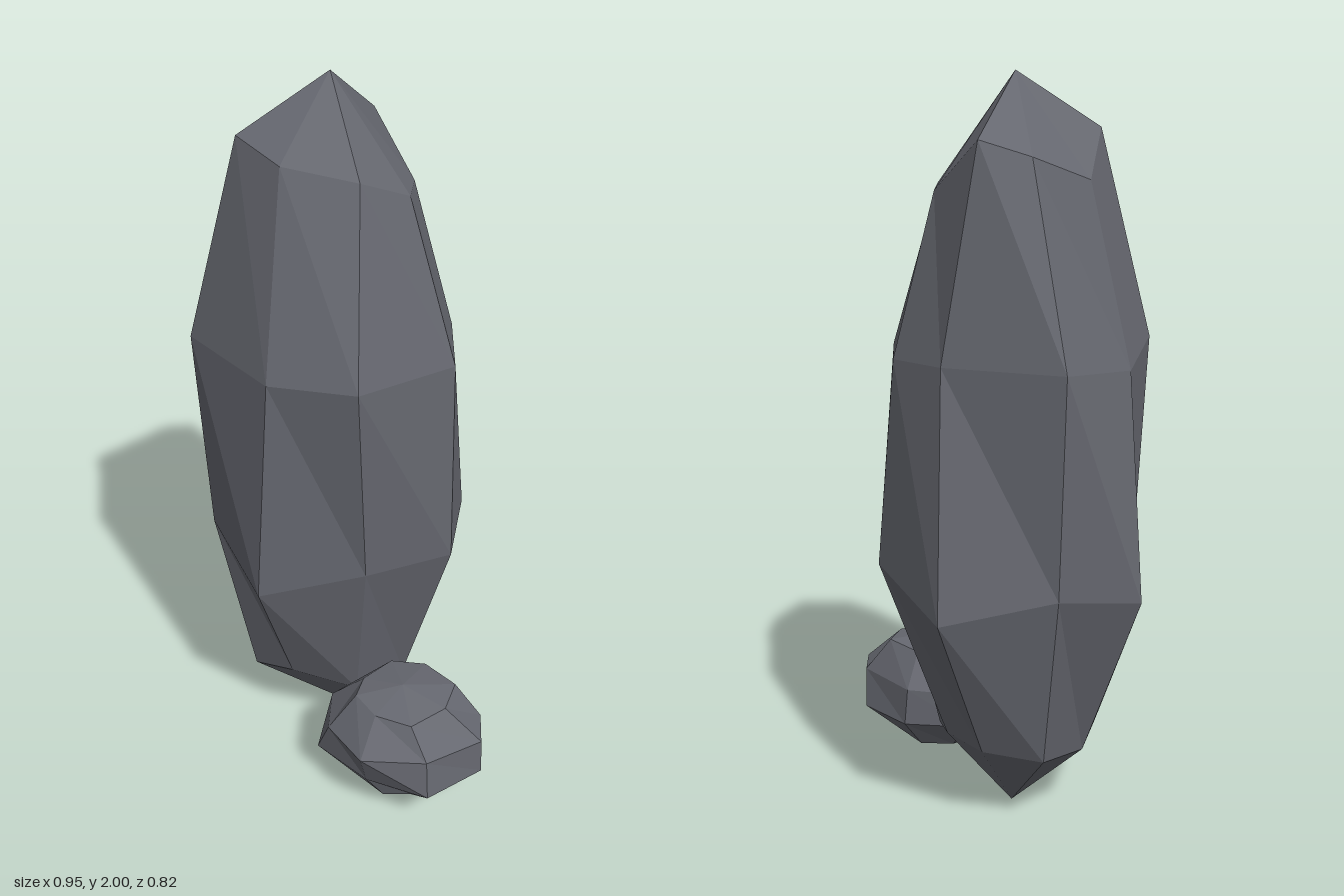
import * as THREE from 'three';

// Faceted stone: two poles joined by rings of [x, y, z] points,
// each ring running from +x towards +z.
function stone(name, top, rings, bottom, material) {
  const pos = [];
  const tri = (...corners) => corners.forEach((p) => pos.push(...p));
  const n = rings[0].length;
  const last = rings[rings.length - 1];
  for (let i = 0; i < n; i++) {
    const j = (i + 1) % n;
    tri(top, rings[0][j], rings[0][i]);
    for (let r = 0; r < rings.length - 1; r++) {
      const up = rings[r], low = rings[r + 1];
      tri(up[i], up[j], low[i]);
      tri(up[j], low[j], low[i]);
    }
    tri(last[i], last[j], bottom);
  }
  const geometry = new THREE.BufferGeometry();
  geometry.setAttribute('position', new THREE.Float32BufferAttribute(pos, 3));
  geometry.computeVertexNormals();
  const mesh = new THREE.Mesh(geometry, material);
  mesh.name = name;
  return mesh;
}

export function createModel() {
  const group = new THREE.Group();
  group.name = 'standingStone';
  const rock = new THREE.MeshStandardMaterial({ color: 0x666870, flatShading: true });
  rock.name = 'slateGrey';

  // Tall standing stone
  const shoulder = [
    [0.12, 1.72, -0.035], [0.06, 1.8, 0.12], [-0.12, 1.83, 0.175], [-0.27, 1.86, 0.115],
    [-0.3, 1.74, -0.06], [-0.2, 1.8, -0.205], [-0.08, 1.84, -0.255], [0.08, 1.71, -0.15],
  ];
  const chest = [
    [0.26, 1.29, -0.02], [0.13, 1.33, 0.275], [-0.1, 1.32, 0.315], [-0.395, 1.32, 0.18],
    [-0.41, 1.27, -0.045], [-0.33, 1.3, -0.31], [-0.01, 1.3, -0.325], [0.165, 1.29, -0.225],
  ];
  const belly = [
    [0.275, 0.7, -0.01], [0.12, 0.73, 0.21], [-0.14, 0.66, 0.335], [-0.37, 0.73, 0.17],
    [-0.475, 0.68, -0.115], [-0.31, 0.72, -0.29], [-0.035, 0.66, -0.415], [0.22, 0.73, -0.22],
  ];
  const foot = [
    [0.13, 0.2, -0.03], [0.05, 0.22, 0.12], [-0.13, 0.27, 0.18], [-0.28, 0.2, 0.13],
    [-0.3, 0.2, -0.04], [-0.24, 0.22, -0.19], [-0.08, 0.24, -0.23], [0.06, 0.23, -0.14],
  ];
  group.add(stone('tallStone', [-0.09, 2, -0.03], [shoulder, chest, belly, foot], [-0.09, 0, -0.03], rock));

  // Small pebble at its foot
  const crown = [
    [0.365, 0.355, 0.215], [0.305, 0.345, 0.31], [0.2, 0.345, 0.315], [0.12, 0.35, 0.27],
    [0.11, 0.35, 0.2], [0.15, 0.35, 0.1], [0.245, 0.355, 0.075], [0.355, 0.36, 0.12],
  ];
  const upper = [
    [0.47, 0.26, 0.2], [0.37, 0.27, 0.35], [0.2, 0.26, 0.41], [0.06, 0.25, 0.325],
    [0.01, 0.25, 0.2], [0.08, 0.25, 0.06], [0.25, 0.26, 0.01], [0.43, 0.26, 0.105],
  ];
  const lower = [
    [0.475, 0.15, 0.2], [0.38, 0.15, 0.36], [0.2, 0.15, 0.37], [0.015, 0.14, 0.305],
    [0.01, 0.15, 0.21], [0.08, 0.15, 0.06], [0.26, 0.15, 0.01], [0.42, 0.15, 0.08],
  ];
  const base = [
    [0.34, 0.06, 0.2], [0.3, 0.06, 0.29], [0.23, 0.055, 0.32], [0.12, 0.05, 0.27],
    [0.11, 0.05, 0.2], [0.15, 0.06, 0.11], [0.24, 0.06, 0.08], [0.31, 0.06, 0.13],
  ];
  group.add(stone('pebble', [0.23, 0.375, 0.2], [crown, upper, lower, base], [0.23, 0.03, 0.2], rock));

  return group;
}
